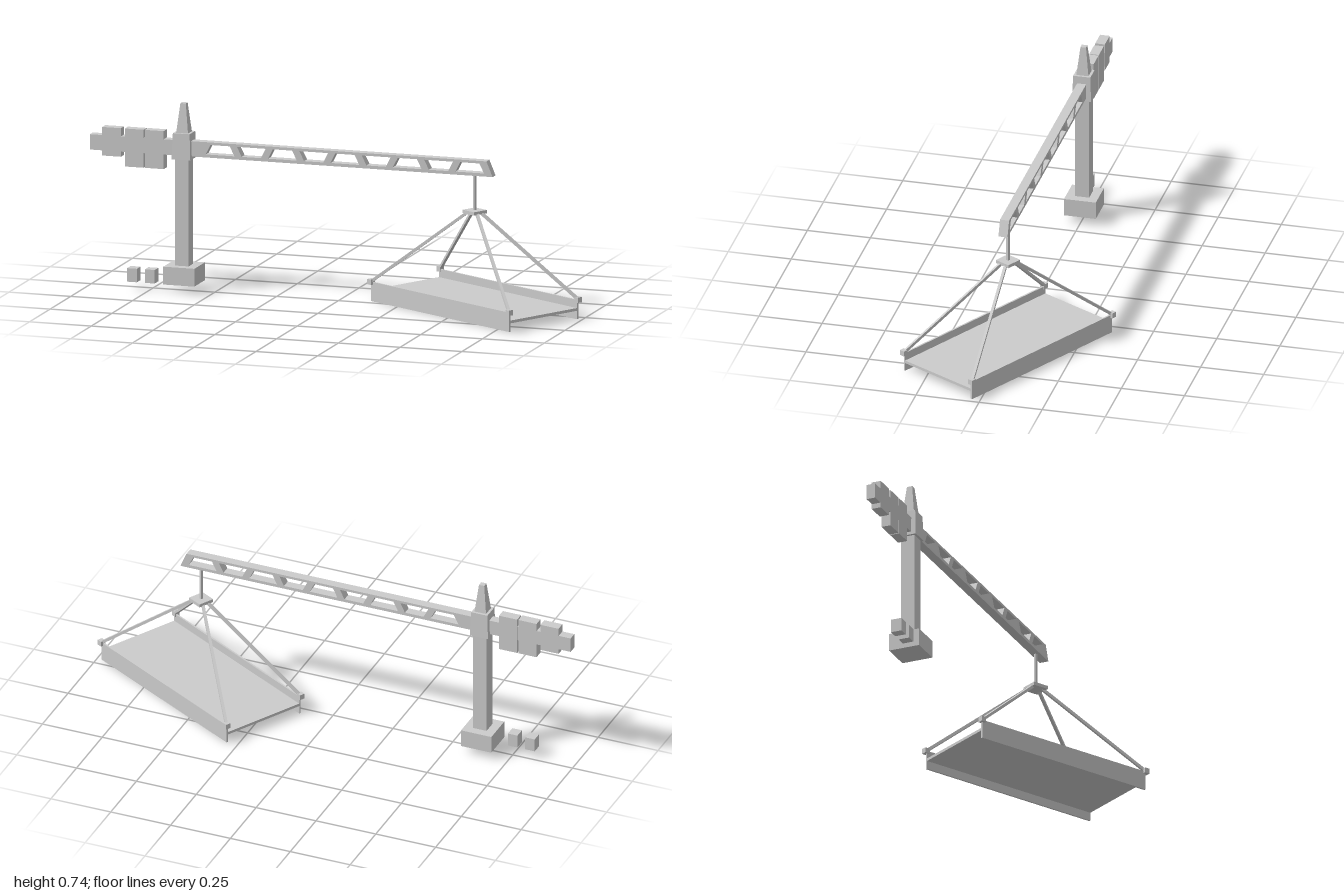
import * as THREE from 'three';

const grey = new THREE.MeshStandardMaterial({ color: 0xcccccc, flatShading: true });

function add(parent, name, geometry) {
  const mesh = new THREE.Mesh(geometry, grey);
  mesh.name = name;
  parent.add(mesh);
  return mesh;
}

// Box given by its lower and upper corners
function box(parent, name, [x0, y0, z0], [x1, y1, z1]) {
  const mesh = add(parent, name, new THREE.BoxGeometry(x1 - x0, y1 - y0, z1 - z0));
  mesh.position.set((x0 + x1) / 2, (y0 + y1) / 2, (z0 + z1) / 2);
  return mesh;
}

// Square tapered block, half widths at bottom and top
function taper(parent, name, x, y0, y1, halfBottom, halfTop) {
  const g = new THREE.CylinderGeometry(halfTop * Math.SQRT2, halfBottom * Math.SQRT2, y1 - y0, 4);
  g.rotateY(Math.PI / 4);
  add(parent, name, g).position.set(x, (y0 + y1) / 2, 0);
}

// Square bar between two points
function bar(parent, name, a, b, width) {
  const mesh = add(parent, name, new THREE.BoxGeometry(width, width, a.distanceTo(b)));
  mesh.position.copy(a).add(b).multiplyScalar(0.5);
  mesh.lookAt(b);
}

function createJib() {
  const half = 0.018, y0 = 0.53, y1 = 0.59;
  const polygon = (pts, Type) => new Type(pts.map(([x, y]) => new THREE.Vector2(x, y)));
  const shape = polygon([[-1, y0], [0.63, y0], [0.605, y1], [-1, y1]], THREE.Shape);
  // Alternating trapezoid windows
  for (let i = 0; i < 9; i++) {
    const c = -0.473 + i * 0.1263;
    const [b, t] = i % 2 ? [0.039, 0.058] : [0.058, 0.039];
    shape.holes.push(polygon([[c - b, 0.542], [c - t, 0.58], [c + t, 0.58], [c + b, 0.542]], THREE.Path));
  }
  const g = new THREE.ExtrudeGeometry(shape, { depth: 2 * half, bevelEnabled: false });
  return g.translate(0, 0, -half);
}

export function createModel() {
  const model = new THREE.Group();
  model.name = 'towerCrane';

  // Tower
  const tx = -0.625;
  box(model, 'base', [tx - 0.063, 0.03, -0.063], [tx + 0.063, 0.1, 0.063]);
  box(model, 'mast', [tx - 0.028, 0.1, -0.028], [tx + 0.028, 0.53, 0.028]);
  taper(model, 'slewingBlock', tx, 0.518, 0.62, 0.038, 0.034);
  taper(model, 'peak', tx, 0.62, 0.735, 0.024, 0.011);

  // Jib and counterweights
  add(model, 'jib', createJib());
  for (const [x, y] of [[-0.95, 0.51], [-0.858, 0.473], [-0.777, 0.473]]) {
    box(model, 'counterweight', [x, y, -0.019], [x + 0.076, 0.622, 0.019]);
  }

  // Small blocks beside the base
  for (const x of [-0.837, -0.765]) {
    box(model, 'groundBlock', [x, 0.03, 0.012], [x + 0.04, 0.083, 0.056]);
  }

  // Hanging load, turned about the cable
  const load = new THREE.Group();
  load.name = 'load';
  load.position.x = 0.5515;
  load.rotation.y = -THREE.MathUtils.degToRad(29);
  model.add(load);
  box(load, 'cable', [-0.005, 0.385, -0.005], [0.005, 0.535, 0.005]);
  box(load, 'hookPlate', [-0.033, 0.38, -0.033], [0.033, 0.393, 0.033]);

  // Girder deck: a floor between two side walls
  const L = 0.392, W = 0.18;
  box(load, 'floor', [-L, 0.033, -W + 0.003], [L, 0.044, W - 0.003]);
  for (const s of [-1, 1]) {
    const wall = box(load, 'sideWall', [-L, 0, -0.0035], [L, 0.076, 0.0035]);
    wall.position.z = s * (W - 0.0035);
    // Corner lugs and slings
    for (const e of [-1, 1]) {
      const corner = new THREE.Vector3(e * L, 0.077, s * W);
      box(load, 'lug', [-0.0105, 0.066, -0.0105], [0.0105, 0.087, 0.0105])
        .position.set(corner.x, 0.0765, corner.z);
      const top = new THREE.Vector3(e * L, 0, s * W).setLength(0.026).setY(0.384);
      // Bars are built in an unrotated frame
      bar(load, 'sling', top, corner, 0.011);
    }
  }

  // Aim each sling along its own line inside the turned group
  load.children.filter((m) => m.name === 'sling').forEach((m) => {
    const e = Math.sign(m.position.x), s = Math.sign(m.position.z);
    const top = new THREE.Vector3(e * L, 0, s * W).setLength(0.026).setY(0.384);
    const dir = new THREE.Vector3(e * L, 0.077, s * W).sub(top).normalize();
    const side = new THREE.Vector3(0, 1, 0).cross(dir).normalize();
    const up = dir.clone().cross(side);
    m.quaternion.setFromRotationMatrix(new THREE.Matrix4().makeBasis(side, up, dir));
  });

  return model;
}
